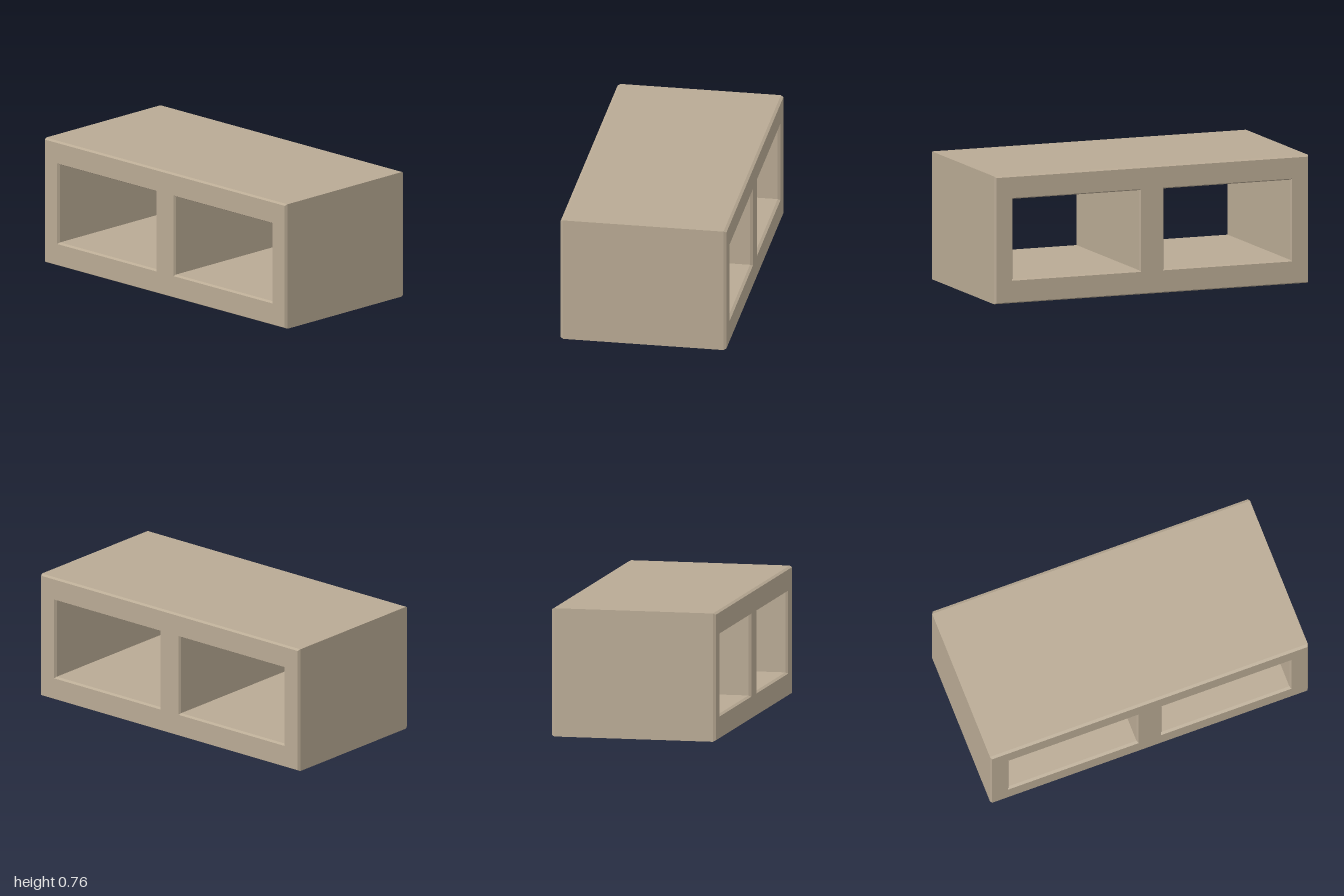
import * as THREE from 'three';

const WIDTH = 0.99, HEIGHT = 0.763, LENGTH = 2;
const BEVEL = 0.008, BEVEL_DEPTH = 0.016;

// Traces a rectangle on a Shape or Path
function rect(path, x0, y0, x1, y1) {
  path.moveTo(x0, y0);
  path.lineTo(x1, y0);
  path.lineTo(x1, y1);
  path.lineTo(x0, y1);
  path.closePath();
  return path;
}

export function createModel() {
  const group = new THREE.Group();
  group.name = 'hollowBlock';

  const concrete = new THREE.MeshStandardMaterial({ color: 0xb9aa94 });
  concrete.name = 'beige concrete';

  // Outer profile, inset so that the bevel reaches the full size
  const half = LENGTH / 2 - BEVEL;
  const profile = rect(new THREE.Shape(), -half, BEVEL, half, HEIGHT - BEVEL);

  // Two rectangular cores running through the width
  for (const [a, b] of [[-0.892, -0.07], [0.07, 0.892]]) {
    profile.holes.push(rect(new THREE.Path(), a, 0.136, b, 0.63));
  }

  // Block body with chamfered rims at both open ends
  const depth = WIDTH - 2 * BEVEL_DEPTH;
  const geometry = new THREE.ExtrudeGeometry(profile, {
    depth,
    bevelEnabled: true,
    bevelSegments: 1,
    bevelSize: BEVEL,
    bevelThickness: BEVEL_DEPTH,
  });
  geometry.translate(0, 0, -depth / 2);
  geometry.rotateY(Math.PI / 2);

  const block = new THREE.Mesh(geometry, concrete);
  block.name = 'blockBody';
  group.add(block);
  return group;
}
